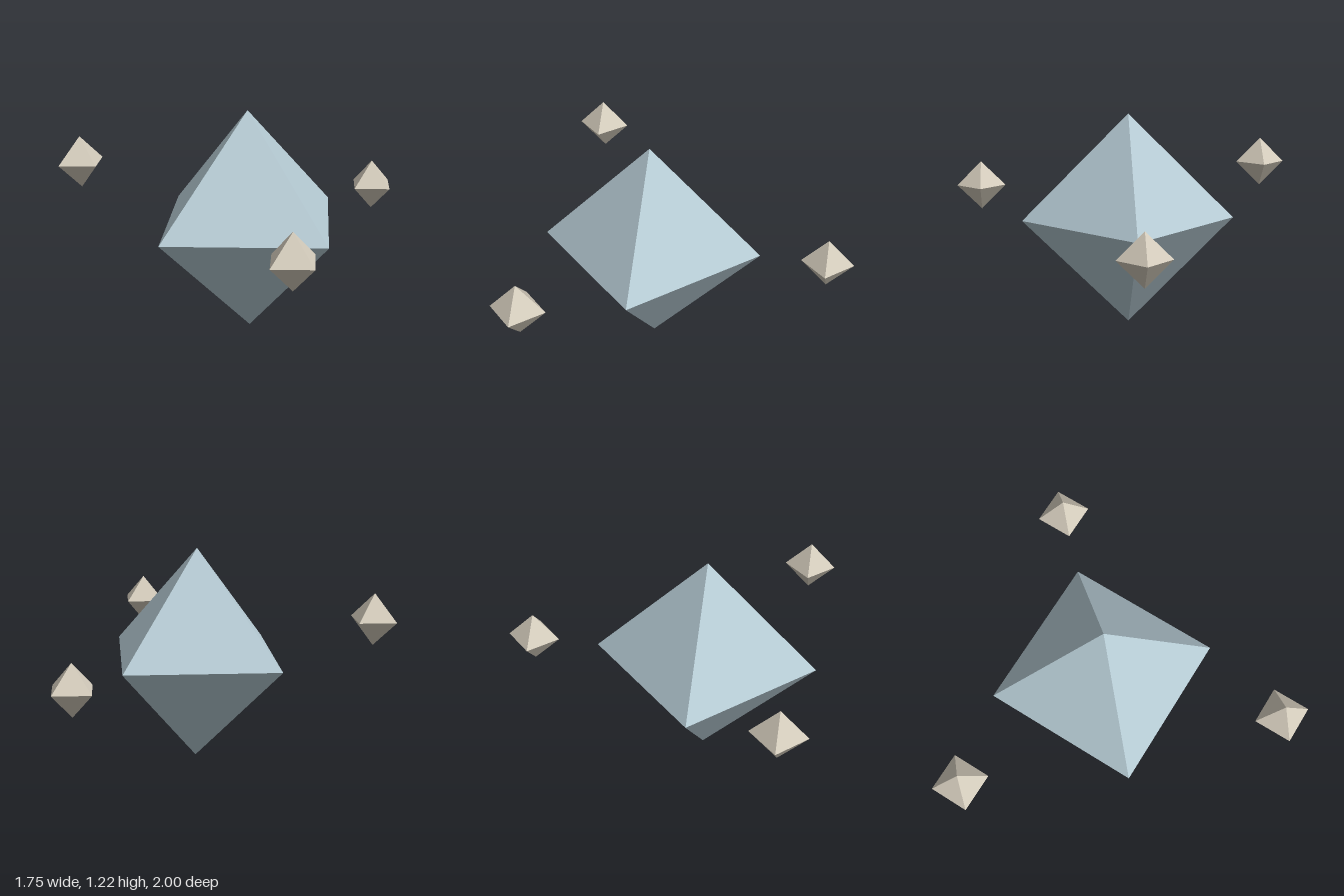
import * as THREE from 'three';

export function createModel() {
  const model = new THREE.Group();
  model.name = 'floatingCrystals';

  const paleBlue = new THREE.MeshStandardMaterial({ color: 0xb6cbd4 });
  paleBlue.name = 'pale blue';
  const warmStone = new THREE.MeshStandardMaterial({ color: 0xd4ccbc });
  warmStone.name = 'warm stone';

  // Eight-sided crystal with sharp, flat faces
  function addCrystal(name, radius, position, material) {
    const mesh = new THREE.Mesh(new THREE.OctahedronGeometry(radius, 0), material);
    mesh.name = name;
    mesh.position.set(...position);
    model.add(mesh);
  }

  // Large central crystal
  addCrystal('coreCrystal', 0.608, [-0.245, 0.608, 0], paleBlue);

  // Three small crystals circling it, each a step higher
  const orbit = [
    [0.732, 0.61, 0],
    [-0.732, 0.733, 0.855],
    [-0.732, 0.856, -0.855],
  ];
  orbit.forEach((p, i) => addCrystal(`orbitingCrystal${i + 1}`, 0.145, p, warmStone));

  return model;
}
